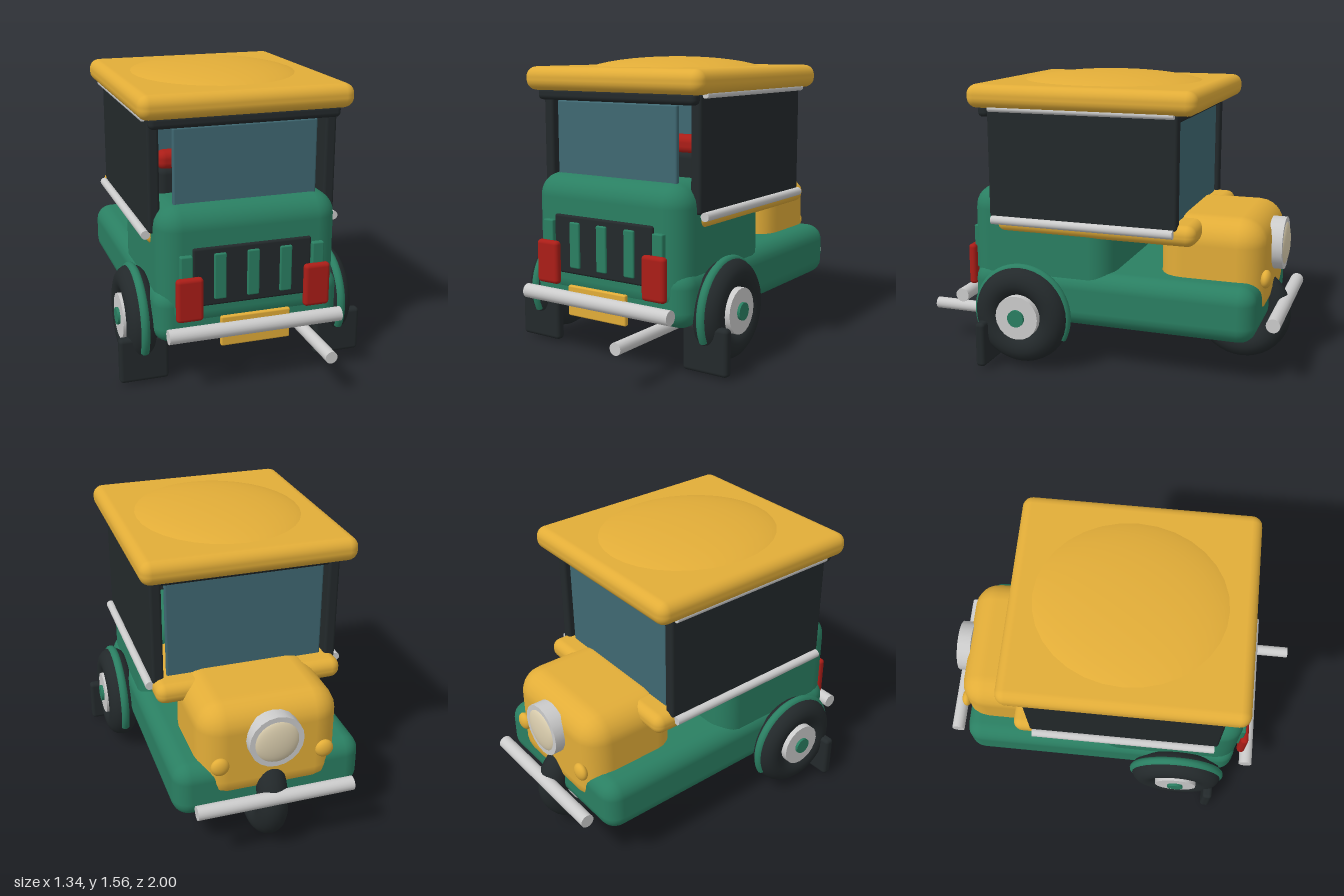
import * as THREE from 'three';
import { RoundedBoxGeometry } from 'three/addons/geometries/RoundedBoxGeometry.js';

const mat = (color) => new THREE.MeshStandardMaterial({ color });
const green = mat(0x2a7f62), yellow = mat(0xe2ad38), dark = mat(0x23292b), red = mat(0xab1d17);
const silver = mat(0xcccccc), glass = mat(0x3f6872), cream = mat(0xddd0b0);

export function createModel() {
  const model = new THREE.Group();

  const add = (name, geometry, material, x = 0, y = 0, z = 0, parent = model) => {
    const mesh = new THREE.Mesh(geometry, material);
    mesh.name = name;
    mesh.position.set(x, y, z);
    parent.add(mesh);
    return mesh;
  };
  // Rounded box given by its extents along each axis
  const box = (name, material, [x0, x1], [y0, y1], [z0, z1], r) =>
    add(name, new RoundedBoxGeometry(x1 - x0, y1 - y0, z1 - z0, 3, r), material,
      (x0 + x1) / 2, (y0 + y1) / 2, (z0 + z1) / 2);
  // Round bar along x or z
  const bar = (name, material, axis, length, r, x, y, z, parent) => {
    const geometry = new THREE.CylinderGeometry(r, r, length, 20);
    if (axis === 'x') geometry.rotateZ(Math.PI / 2);
    else geometry.rotateX(Math.PI / 2);
    return add(name, geometry, material, x, y, z, parent);
  };
  const ball = (name, material, r, [sx, sy, sz], x, y, z) => {
    const mesh = add(name, new THREE.SphereGeometry(r, 32, 20), material, x, y, z);
    mesh.scale.set(sx, sy, sz);
    return mesh;
  };

  // Body
  box('floor', green, [-0.5, 0.5], [0.24, 0.54], [-0.88, 0.68], 0.09);
  box('rearBody', green, [-0.48, 0.48], [0.3, 0.965], [-0.115, 0.69], 0.12);
  box('beltSlab', yellow, [-0.5, 0.5], [0.73, 0.84], [-0.57, 0.53], 0.05);
  box('frontCowl', yellow, [-0.37, 0.37], [0.3, 0.855], [-0.895, -0.335], 0.14);

  // Roof
  box('roof', yellow, [-0.56, 0.56], [1.395, 1.52], [-0.58, 0.66], 0.055);
  ball('roofDome', yellow, 1, [0.508, 0.1, 0.566], 0, 1.47, 0.03);
  box('rearHeader', dark, [-0.5, 0.5], [1.345, 1.41], [0.55, 0.615], 0.025);
  box('frontHeader', dark, [-0.46, 0.46], [1.345, 1.41], [-0.47, -0.41], 0.025);

  // Windows and seat
  box('rearWindow', glass, [-0.38, 0.38], [0.9, 1.345], [0.56, 0.59], 0.01);
  box('windscreen', glass, [-0.42, 0.42], [0.8, 1.38], [-0.455, -0.425], 0.01);
  box('seatBack', dark, [-0.4, 0.4], [0.9, 1.1], [0.3, 0.4], 0.04);
  box('seatCushion', red, [-0.4, 0.4], [1.08, 1.18], [0.3, 0.4], 0.04);

  // Wheel made of tyre, hub and caps, axle along x
  const wheel = (name, x, y, z) => {
    const group = new THREE.Group();
    group.name = name;
    group.position.set(x, y, z);
    model.add(group);
    add('tyre', new THREE.TorusGeometry(0.184, 0.08, 18, 40).rotateY(Math.PI / 2), dark, 0, 0, 0, group);
    bar('hub', silver, 'x', 0.165, 0.12, 0, 0, 0, group);
    bar('hubCap', green, 'x', 0.195, 0.046, 0, 0, 0, group);
  };
  wheel('frontWheel', 0, 0.27, -0.73);

  // Mirrored side parts
  for (const s of [-1, 1]) {
    const side = s > 0 ? 'left' : 'right';
    const span = (a, b) => (s > 0 ? [a, b] : [-b, -a]);
    box(side + 'SidePanel', dark, span(0.44, 0.5), [0.81, 1.4], [-0.475, 0.56], 0.015);
    bar(side + 'LowerRail', silver, 'z', 1, 0.023, s * 0.512, 0.8, 0.04);
    bar(side + 'UpperRail', silver, 'z', 1, 0.018, s * 0.514, 1.395, 0.04);

    wheel(side + 'RearWheel', s * 0.54, 0.303, 0.36);
    const arc = Math.PI * 1.3;
    const guard = new THREE.TorusGeometry(0.252, 0.025, 12, 40, arc);
    guard.rotateZ((Math.PI - arc) / 2).rotateY(Math.PI / 2);
    add(side + 'Mudguard', guard, green, s * 0.54, 0.303, 0.36);
    box(side + 'Mudflap', dark, span(0.41, 0.67), [0.02, 0.265], [0.53, 0.585], 0.02);

    box(side + 'TailLight', red, span(0.27, 0.41), [0.39, 0.62], [0.7, 0.745], 0.02);
    ball(side + 'Indicator', yellow, 0.048, [1, 1, 0.6], s * 0.275, 0.545, -0.895);
  }

  // Rear grille with slats
  box('grille', dark, [-0.315, 0.315], [0.45, 0.76], [0.67, 0.704], 0.012);
  for (let i = -2; i <= 2; i++) {
    const x = i * 0.175;
    box('grilleSlat', green, [x - 0.032, x + 0.032], [0.485, 0.728], [0.67, 0.716], 0.008);
  }
  box('rearPlate', yellow, [-0.185, 0.185], [0.245, 0.405], [0.73, 0.757], 0.008);

  // Bumpers and exhaust
  bar('rearBumper', silver, 'x', 0.925, 0.038, 0, 0.338, 0.762);
  bar('frontBumper', silver, 'x', 0.83, 0.037, 0, 0.345, -0.962);
  bar('exhaust', silver, 'z', 0.55, 0.032, 0.31, 0.222, 0.725);

  // Headlight
  bar('headlightRing', silver, 'z', 0.075, 0.142, 0, 0.672, -0.912);
  ball('headlightLens', cream, 0.12, [1, 1, 0.25], 0, 0.672, -0.94);

  return model;
}
